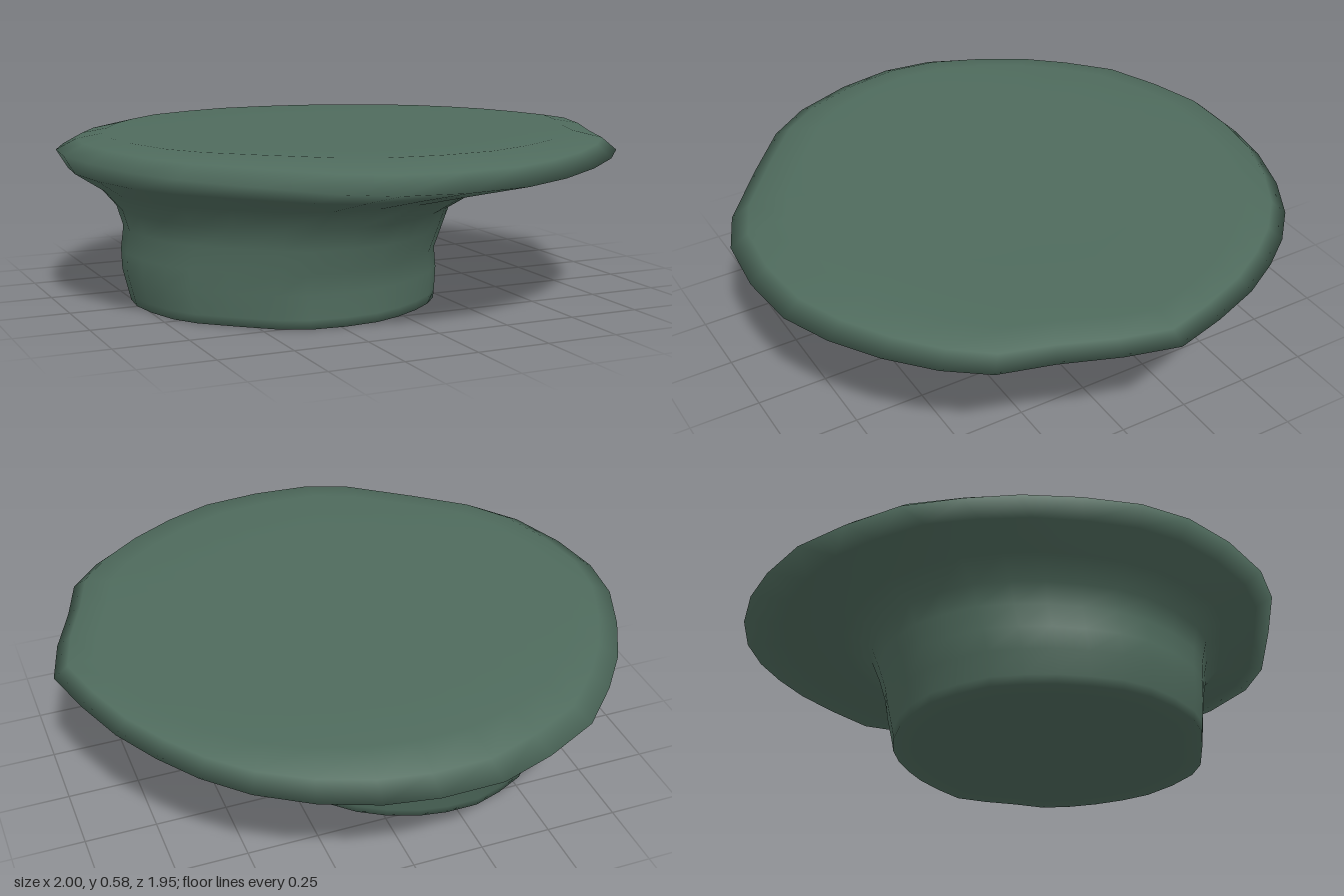
import * as THREE from 'three';

// Irregular rim outline (x, z), counter-clockwise seen from above
const OUTLINE = [
  [1, -0.02], [0.95, -0.2], [0.88, -0.38], [0.79, -0.53], [0.69, -0.66], [0.56, -0.78], [0.39, -0.88],
  [0.2, -0.95], [0.02, -0.98], [-0.19, -0.98], [-0.38, -0.92], [-0.57, -0.83], [-0.71, -0.69],
  [-0.82, -0.55], [-0.91, -0.38], [-0.98, -0.2], [-1, -0.02], [-0.97, 0.18], [-0.9, 0.39],
  [-0.8, 0.54], [-0.62, 0.7], [-0.4, 0.88], [-0.24, 0.95], [-0.02, 0.97], [0.2, 0.95],
  [0.38, 0.88], [0.55, 0.78], [0.7, 0.66], [0.81, 0.53], [0.87, 0.35], [0.95, 0.16],
];

// Cross-sections from the base upward: [y at the sides, y at front/back, xMin, xMax, zMin, zMax]
const RINGS = [
  [0, 0, -0.22, -0.22, 0, 0],
  [0, 0, -0.7, 0.26, -0.48, 0.49],
  [0, 0, -0.765, 0.32, -0.545, 0.555],
  [0.03, 0.03, -0.772, 0.325, -0.55, 0.555],
  [0.11, 0.11, -0.79, 0.335, -0.57, 0.555],
  [0.18, 0.18, -0.79, 0.328, -0.59, 0.56],
  [0.26, 0.26, -0.78, 0.35, -0.61, 0.59],
  [0.33, 0.33, -0.8, 0.38, -0.635, 0.605],
  [0.4, 0.4, -0.86, 0.52, -0.71, 0.68],
  [0.465, 0.45, -0.96, 0.77, -0.88, 0.86],
  [0.53, 0.485, -1, 1, -0.98, 0.98],
  [0.565, 0.54, -0.93, 0.95, -0.92, 0.92],
  [0.58, 0.575, -0.84, 0.86, -0.8, 0.78],
  [0.572, 0.57, -0.5, 0.5, -0.48, 0.48],
  [0.565, 0.565, 0, 0, 0, 0],
];

// Skins the outline, fitted to each cross-section, into one smooth body
function loftRings() {
  const n = OUTLINE.length, positions = [], indices = [];
  const fit = (t, min, max) => (min + max) / 2 + t * (max - min) / 2;
  RINGS.forEach(([ySide, yEnd, x0, x1, z0, z1], r) => {
    const closed = x0 === x1;
    const points = closed ? [[0, 0]] : OUTLINE;
    for (const [u, v] of points) {
      const side = u * u / (u * u + v * v || 1);
      positions.push(fit(u, x0, x1), yEnd + (ySide - yEnd) * side, fit(v / 0.98, z0, z1));
    }
    if (r === 0) return;
    // Index of the first point in this ring and in the one below
    const top = 1 + (r - 1) * n, low = top - n;
    for (let i = 0; i < n; i++) {
      const j = (i + 1) % n;
      if (r === 1) indices.push(0, top + j, top + i);
      else if (closed) indices.push(low + i, low + j, top);
      else indices.push(low + i, low + j, top + j, low + i, top + j, top + i);
    }
  });
  const geometry = new THREE.BufferGeometry();
  geometry.setAttribute('position', new THREE.Float32BufferAttribute(positions, 3));
  geometry.setIndex(indices);
  geometry.computeVertexNormals();
  return geometry;
}

export function createModel() {
  const group = new THREE.Group();
  group.name = 'flatToppedRock';
  // Off-centre stem flaring into a broad flat cap
  const body = new THREE.Mesh(loftRings(), new THREE.MeshStandardMaterial({ color: 0x4f6b5d }));
  body.name = 'stemAndCap';
  group.add(body);
  return group;
}
